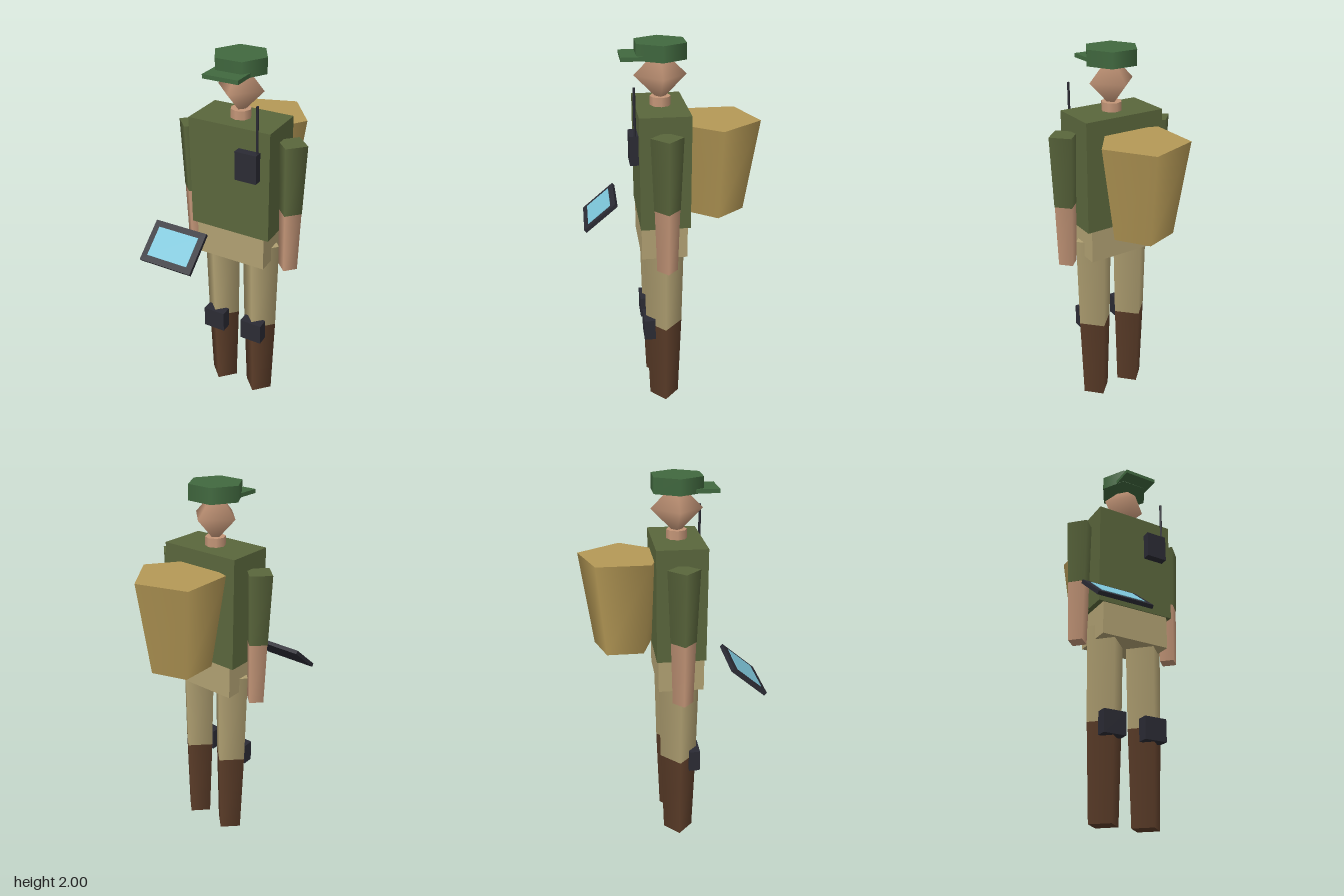
import * as THREE from 'three';

const mat = (name, color) => {
  const m = new THREE.MeshStandardMaterial({ color });
  m.name = name;
  return m;
};

export function createModel() {
  const shirt = mat('olive shirt', 0x5a663c);
  const skin = mat('skin', 0xc49678);
  const khaki = mat('khaki trousers', 0xb0a072);
  const leather = mat('brown leather', 0x5c3d29);
  const canvas = mat('tan canvas', 0xb59956);
  const capGreen = mat('cap green', 0x41693f);
  const dark = mat('dark plastic', 0x2b2b34);
  const glass = mat('screen blue', 0x7cc4d8);

  const model = new THREE.Group();
  model.name = 'fieldExplorer';
  const CX = 0.005, CZ = 0.04; // body axis

  const add = (name, geometry, material, x, y, z) => {
    const mesh = new THREE.Mesh(geometry, material);
    mesh.name = name;
    mesh.position.set(x, y, z);
    model.add(mesh);
    return mesh;
  };
  const box = (name, material, w, h, d, x, y, z) =>
    add(name, new THREE.BoxGeometry(w, h, d), material, x, y, z);
  // Tapered prism between two heights, with a corner pointing to +x
  const prism = (name, material, sides, rTop, rBottom, y0, y1, x, z) =>
    add(name, new THREE.CylinderGeometry(rTop, rBottom, y1 - y0, sides, 1, false, Math.PI / 2),
      material, x, (y0 + y1) / 2, z);

  // Torso and hips
  box('torso', shirt, 0.44, 0.58, 0.252, CX, 1.4, CZ);
  box('hips', khaki, 0.385, 0.18, 0.236, CX, 1.02, CZ + 0.003);

  // Neck and faceted head
  prism('neck', skin, 8, 0.052, 0.052, 1.68, 1.735, CX, CZ);
  add('head', new THREE.SphereGeometry(0.13, 4, 2), skin, CX, 1.838, CZ).scale.x = 0.96;

  // Cap
  prism('capCrown', capGreen, 6, 0.138, 0.138, 1.922, 2.0, CX, CZ);
  box('capBrim', capGreen, 0.185, 0.02, 0.185, CX, 1.934, 0.143);

  // Arms and legs
  for (const [side, label] of [[1, 'left'], [-1, 'right']]) {
    const armX = CX + side * 0.277, legX = CX + side * 0.116;
    prism(label + 'Sleeve', shirt, 4, 0.08, 0.065, 1.24, 1.61, armX, CZ);
    prism(label + 'Forearm', skin, 4, 0.063, 0.053, 0.905, 1.24, armX, CZ);
    prism(label + 'Thigh', khaki, 4, 0.108, 0.098, 0.49, 1.01, legX, CZ);
    prism(label + 'Boot', leather, 4, 0.098, 0.081, 0, 0.49, legX, CZ);
    box(label + 'KneePad', dark, 0.124, 0.12, 0.06, legX, 0.475, 0.123);
  }

  // Tapered five-sided backpack
  prism('backpack', canvas, 5, 0.229, 0.16, 1.125, 1.61, CX, -0.238);

  // Chest radio with antenna
  box('radio', dark, 0.115, 0.148, 0.05, 0.118, 1.513, 0.184);
  prism('radioAntenna', dark, 6, 0.007, 0.007, 1.58, 1.82, 0.167, 0.182);

  // Tilted tablet in front of the right hand
  const tablet = new THREE.Group();
  tablet.name = 'tablet';
  tablet.add(box('tabletBody', dark, 0.3, 0.02, 0.226, 0, 0, 0));
  tablet.add(box('tabletScreen', glass, 0.235, 0.004, 0.16, 0, 0.011, 0));
  tablet.position.set(-0.216, 1.05, 0.357);
  tablet.rotation.x = THREE.MathUtils.degToRad(40);
  model.add(tablet);

  return model;
}
